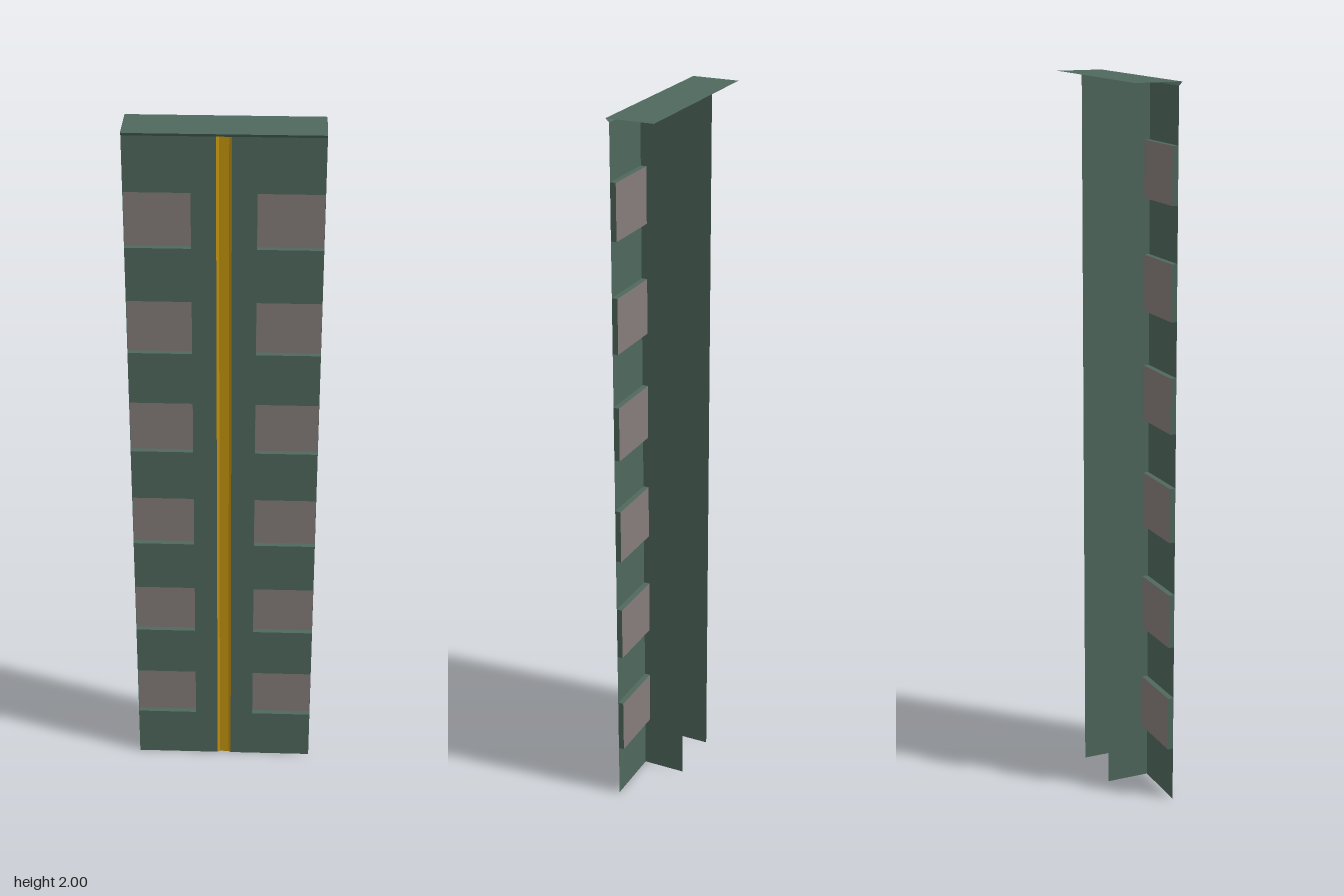
import * as THREE from 'three';

const W = 0.258, H = 2, WEB = 0.085;       // half width, height, web position
const FRONT = 0.056, BACK = -0.067;        // face sheet and rear edge depths
const POCKET = 0.04, LIP = 0.066;          // pocket floor and lip depths
const SLOT = 0.02, TOP = 1.99;             // half width of centre slot, top of face

const material = (color) => new THREE.MeshStandardMaterial({ color, side: THREE.DoubleSide, flatShading: true });

// Thin sheet swept from an open or closed outline of [x, y, z] points along a vector
function sheet(name, points, sweep, mat) {
  const pos = [], d = new THREE.Vector3(...sweep);
  for (let i = 0; i + 1 < points.length; i++) {
    const a = new THREE.Vector3(...points[i]), b = new THREE.Vector3(...points[i + 1]);
    const c = b.clone().add(d), e = a.clone().add(d);
    for (const p of [a, b, c, a, c, e]) pos.push(p.x, p.y, p.z);
  }
  const geo = new THREE.BufferGeometry();
  geo.setAttribute('position', new THREE.Float32BufferAttribute(pos, 3));
  geo.computeVertexNormals();
  const mesh = new THREE.Mesh(geo, mat);
  mesh.name = name;
  return mesh;
}

export function createModel() {
  const model = new THREE.Group();
  model.name = 'wallColumn';
  const green = material(0x4f685d), grey = material(0x857c7a), yellow = material(0xc2930e);
  const pockets = Array.from({ length: 6 }, (_, i) => 0.155 + i * 0.306);
  const PH = 0.154;

  for (const s of [-1, 1]) {
    const side = new THREE.Group();
    side.name = s > 0 ? 'leftHalf' : 'rightHalf';

    // Face sheet, notched from its outer edge at every pocket
    const shape = new THREE.Shape();
    shape.moveTo(s * SLOT, 0);
    shape.lineTo(s * W, 0);
    for (const y of pockets) {
      shape.lineTo(s * W, y);
      shape.lineTo(s * WEB, y);
      shape.lineTo(s * WEB, y + PH);
      shape.lineTo(s * W, y + PH);
    }
    shape.lineTo(s * W, TOP);
    shape.lineTo(s * SLOT, TOP);
    const face = new THREE.Mesh(new THREE.ShapeGeometry(shape), green);
    face.name = 'faceSheet';
    face.position.z = FRONT;
    side.add(face);

    // Recessed pockets: four walls and a grey panel
    for (const y of pockets) {
      const a = [s * WEB, y, POCKET], b = [s * W, y, POCKET];
      const c = [s * W, y + PH, POCKET], d = [s * WEB, y + PH, POCKET];
      side.add(sheet('pocketWalls', [a, b, c, d, a], [0, 0, FRONT - POCKET], green));
      side.add(sheet('pocketPanel', [a, b], [0, PH, 0], grey));
    }

    // Rear stiffening web
    side.add(sheet('rearWeb', [[s * WEB, 0, FRONT], [s * WEB, 0, BACK]], [0, H, 0], green));
    model.add(side);
  }

  // Shallow channel down the centre
  model.add(sheet('centreStrip', [
    [-SLOT, 0, FRONT], [-0.013, 0, 0.051], [0.013, 0, 0.051], [SLOT, 0, FRONT],
  ], [0, TOP, 0], yellow));

  // Top cap with a slanted front lip
  model.add(sheet('topCap', [[-W, H, BACK], [-W, H, LIP], [-W, TOP, FRONT]], [2 * W, 0, 0], green));

  return model;
}
